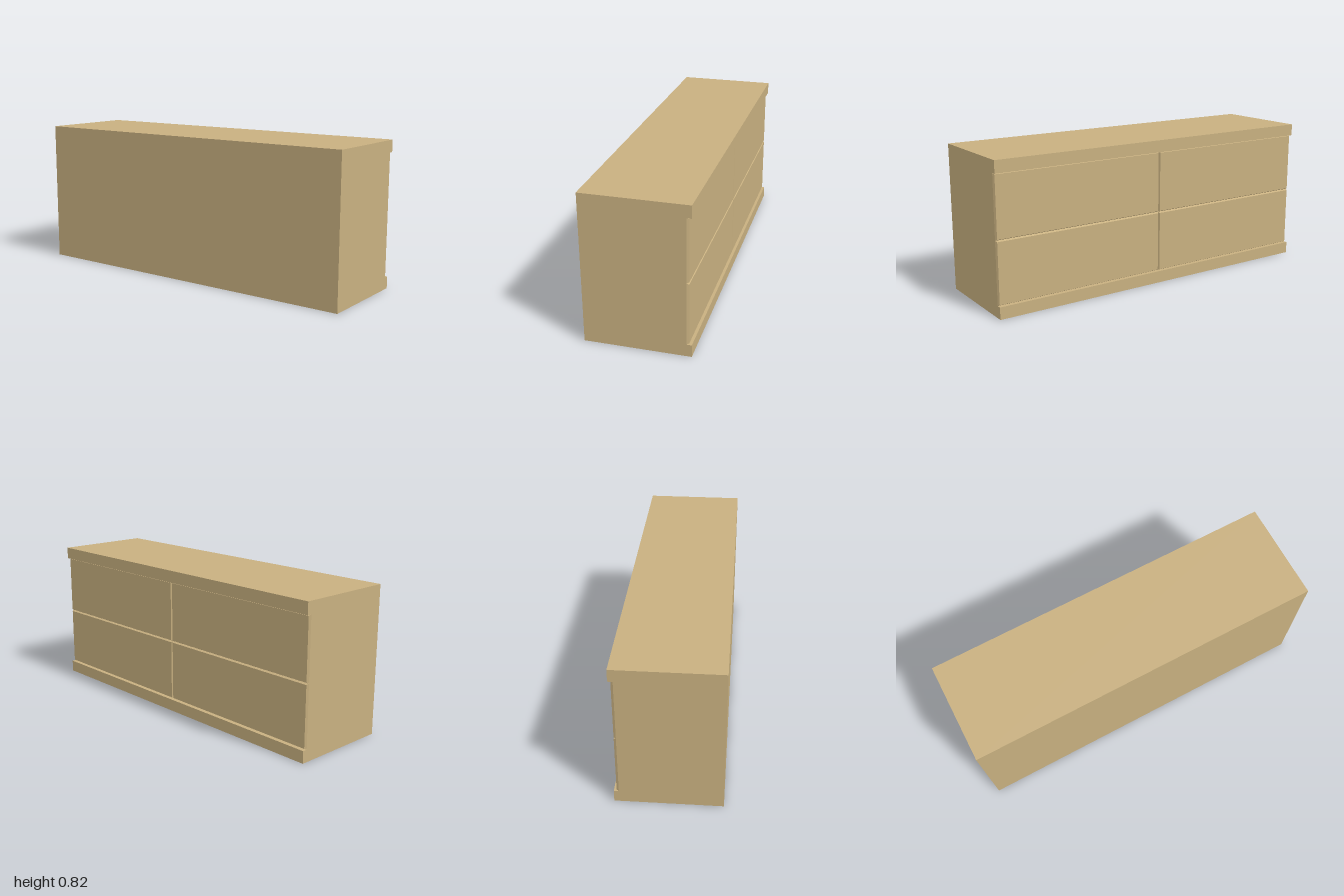
import * as THREE from 'three';

const HALF_DEPTH = 0.281, HALF_LENGTH = 1, HEIGHT = 0.82;
const RECESS_X = 0.255, RAIL = 0.067; // drawer backing plane, rail height
const DRAWER_THICK = 0.012, BEVEL = 0.006;

// Panel with its +x face shrunk to give sloped edges
function bevelledPanel(thick, height, length, bevel) {
  const geo = new THREE.BoxGeometry(thick, height, length);
  const p = geo.attributes.position;
  for (let i = 0; i < p.count; i++) {
    if (p.getX(i) > 0) {
      p.setY(i, p.getY(i) - Math.sign(p.getY(i)) * bevel);
      p.setZ(i, p.getZ(i) - Math.sign(p.getZ(i)) * bevel);
    }
  }
  geo.computeVertexNormals();
  return geo;
}

export function createModel() {
  const model = new THREE.Group();
  model.name = 'sideboard';
  const wood = new THREE.MeshStandardMaterial({ color: 0xc8b080 });
  wood.name = 'light wood';

  // Carcass: C-shaped section with projecting top and bottom rails
  const section = new THREE.Shape([
    [-HALF_DEPTH, 0], [HALF_DEPTH, 0], [HALF_DEPTH, RAIL], [RECESS_X, RAIL],
    [RECESS_X, HEIGHT - RAIL], [HALF_DEPTH, HEIGHT - RAIL],
    [HALF_DEPTH, HEIGHT], [-HALF_DEPTH, HEIGHT],
  ].map(([x, y]) => new THREE.Vector2(x, y)));
  const carcassGeo = new THREE.ExtrudeGeometry(section, { depth: 2 * HALF_LENGTH, bevelEnabled: false });
  carcassGeo.translate(0, 0, -HALF_LENGTH);
  const carcass = new THREE.Mesh(carcassGeo, wood);
  carcass.name = 'carcass';
  model.add(carcass);

  // Four drawer fronts, two rows by two columns
  const drawers = new THREE.Group();
  drawers.name = 'drawerFronts';
  const drawerHeight = (HEIGHT - 2 * RAIL) / 2;
  const drawerGeo = bevelledPanel(DRAWER_THICK, drawerHeight, HALF_LENGTH, BEVEL);
  for (const row of [-1, 1]) {
    for (const col of [-1, 1]) {
      const drawer = new THREE.Mesh(drawerGeo, wood);
      drawer.name = `${row > 0 ? 'upper' : 'lower'}${col > 0 ? 'Front' : 'Back'}Drawer`;
      drawer.position.set(RECESS_X + DRAWER_THICK / 2, HEIGHT / 2 + row * drawerHeight / 2, col * HALF_LENGTH / 2);
      drawers.add(drawer);
    }
  }
  model.add(drawers);
  return model;
}
